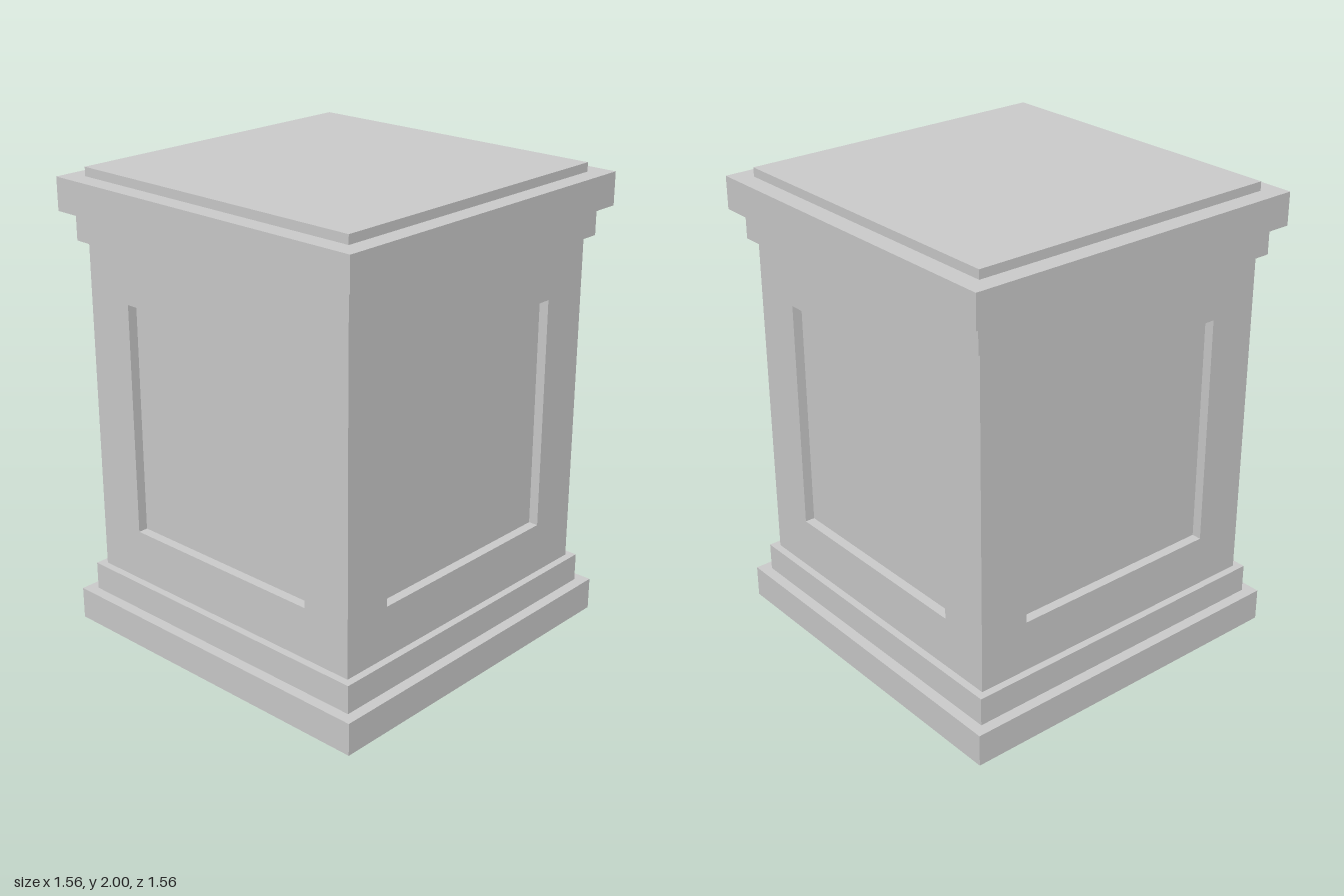
import * as THREE from 'three';

export function createModel() {
  const group = new THREE.Group();
  const material = new THREE.MeshStandardMaterial({ color: 0xcccccc, flatShading: true });

  const SHAFT = 1.402, DEPTH = 0.042;      // shaft width, panel recess depth
  const BOTTOM = 0.262, TOP = 1.701;       // shaft span

  const add = (name, geometry) => {
    const mesh = new THREE.Mesh(geometry, material);
    mesh.name = name;
    group.add(mesh);
    return mesh;
  };

  // Square slab between two heights
  const slab = (name, width, y0, y1) =>
    add(name, new THREE.BoxGeometry(width, y1 - y0, width)).position.y = (y0 + y1) / 2;

  slab('plinth', 1.562, 0, 0.14);
  slab('baseMoulding', 1.467, 0.14, BOTTOM);
  slab('shaftCore', SHAFT - 2 * DEPTH, BOTTOM, TOP);
  slab('capMoulding', 1.467, TOP, 1.823);
  slab('capSlab', 1.562, 1.823, 1.962);
  slab('topPlate', SHAFT, 1.962, 2);

  // Clockwise or counter-clockwise rectangle path
  const rect = (path, w, y0, y1) => {
    path.moveTo(-w / 2, y0);
    path.lineTo(w / 2, y0);
    path.lineTo(w / 2, y1);
    path.lineTo(-w / 2, y1);
    path.closePath();
    return path;
  };

  // Raised frame around the recessed panel on each side of the shaft
  ['front', 'left', 'back', 'right'].forEach((side, i) => {
    // Side frames fit between the front and back ones
    const width = i % 2 ? SHAFT - 2 * DEPTH : SHAFT;
    const shape = rect(new THREE.Shape(), width, BOTTOM, TOP);
    shape.holes.push(rect(new THREE.Path(), 0.958, 0.484, 1.48));
    const geometry = new THREE.ExtrudeGeometry(shape, { depth: DEPTH, bevelEnabled: false });
    geometry.translate(0, 0, SHAFT / 2 - DEPTH);
    add(side + 'PanelFrame', geometry).rotation.y = i * Math.PI / 2;
  });

  return group;
}
